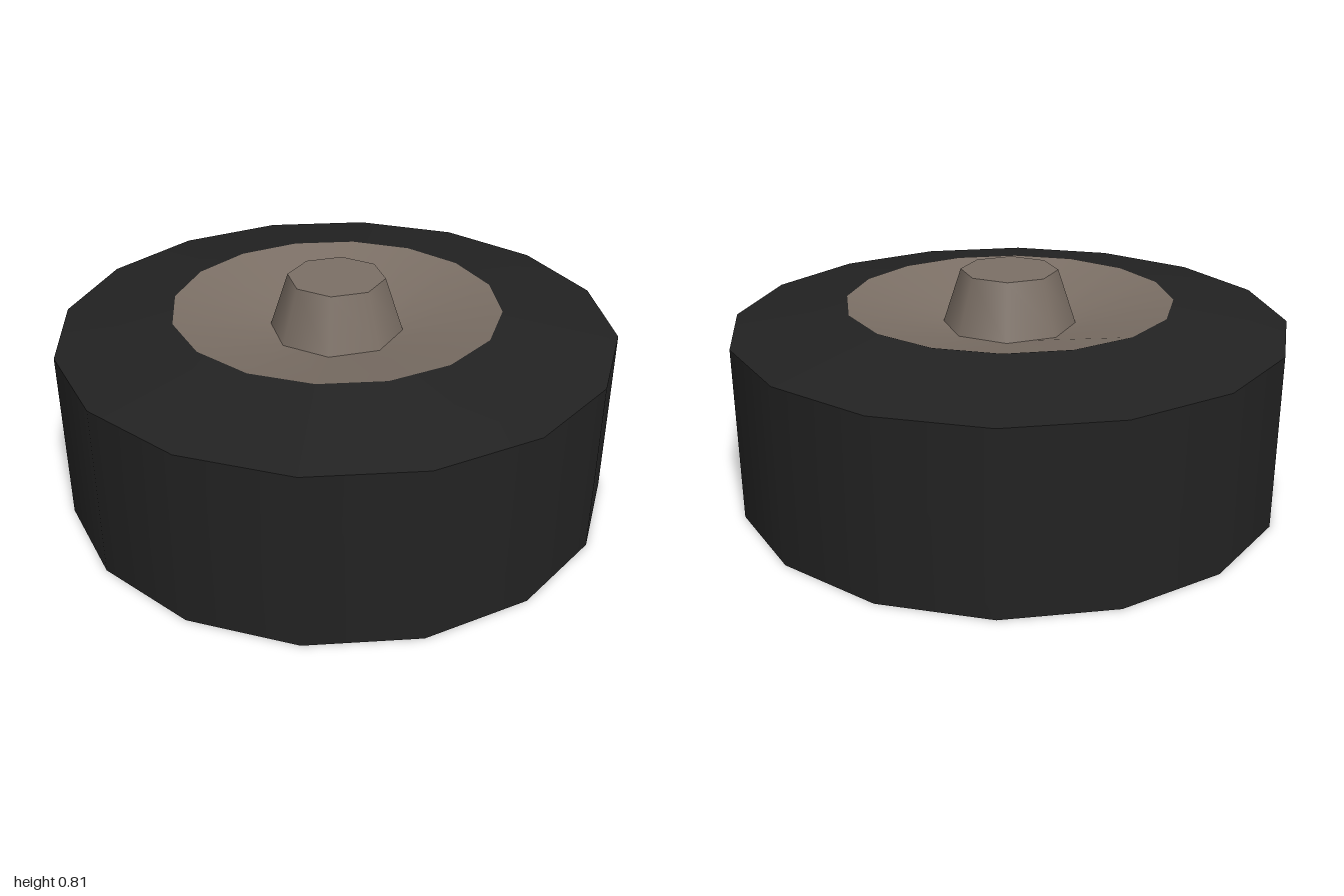
import * as THREE from 'three';

const rubber = new THREE.MeshStandardMaterial({ color: 0x222222 });
rubber.name = 'black rubber';
const metal = new THREE.MeshStandardMaterial({ color: 0x7b6f65 });
metal.name = 'brown grey metal';

// One smooth band of revolution between two [radius, height] points
function band(name, from, to, sides, material) {
  const points = [from, to].map(([r, y]) => new THREE.Vector2(r, y));
  const mesh = new THREE.Mesh(new THREE.LatheGeometry(points, sides), material);
  mesh.name = name;
  return mesh;
}

export function createModel() {
  const model = new THREE.Group();
  model.name = 'wheel';

  // Tyre: separate bands keep the edges between them sharp
  const tyre = new THREE.Group();
  tyre.name = 'tyre';
  tyre.add(
    band('tyreBase', [0, 0], [1, 0], 16, rubber),
    band('tyreTread', [1, 0], [1, 0.63], 16, rubber),
    band('tyreShoulder', [1, 0.63], [0.59, 0.705], 16, rubber)
  );

  // Sunken dish: its 16-sided inner ring is flattened onto the octagonal hub
  const dish = band('rimDish', [0.59, 0.705], [0.24, 0.615], 16, metal);
  const pos = dish.geometry.attributes.position;
  const flatten = Math.cos(Math.PI / 8);
  for (let i = 0; i < pos.count; i++) {
    const segment = Math.floor(i / 2);
    if (i % 2 === 1 && segment % 2 === 1) {
      pos.setX(i, pos.getX(i) * flatten);
      pos.setZ(i, pos.getZ(i) * flatten);
    }
  }

  // Tapered eight-sided hub
  const hub = new THREE.Group();
  hub.name = 'hub';
  hub.add(
    band('hubSide', [0.24, 0.615], [0.175, 0.813], 8, metal),
    band('hubCap', [0.175, 0.813], [0, 0.813], 8, metal)
  );

  model.add(tyre, dish, hub);
  return model;
}
